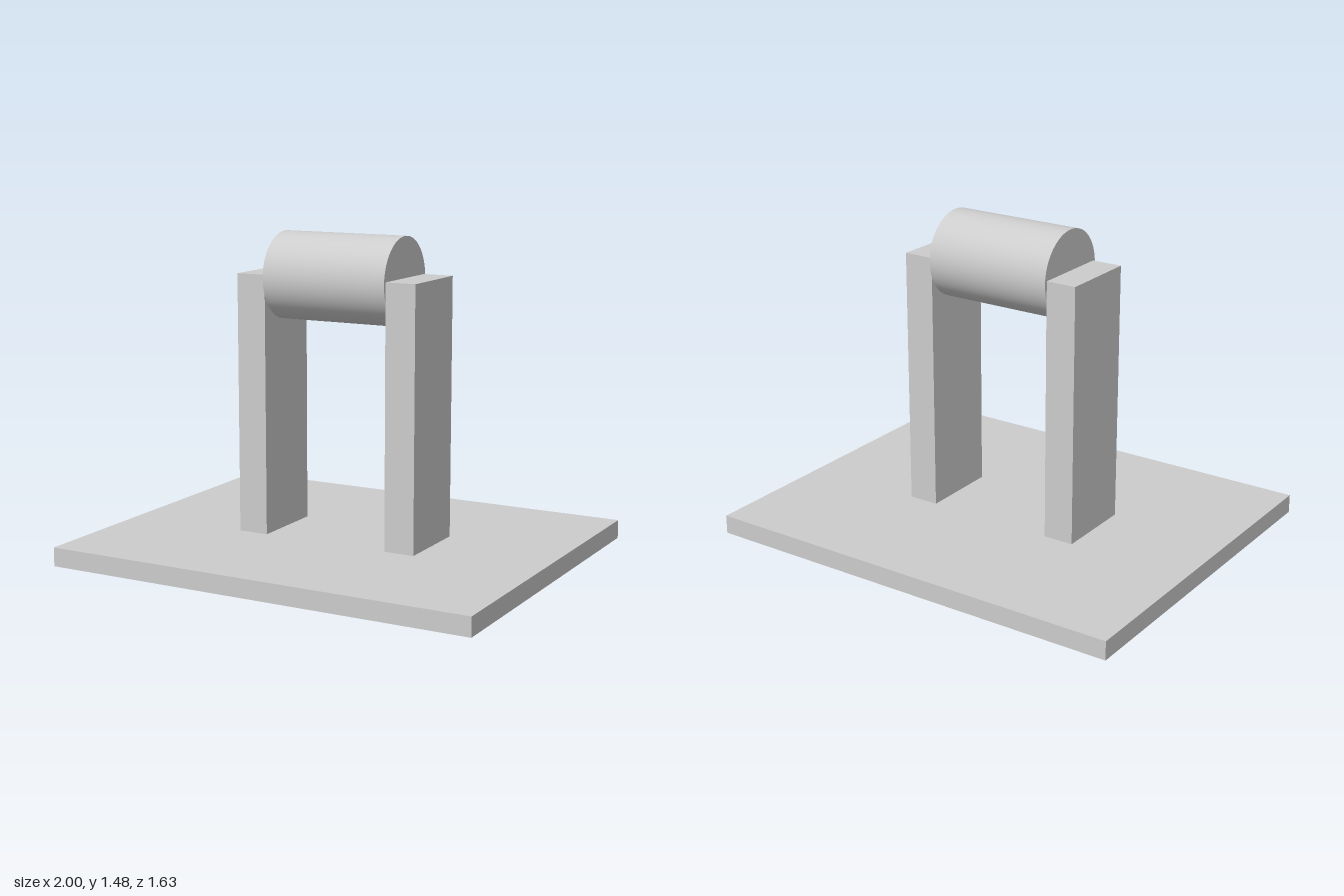
import * as THREE from 'three';

export function createModel() {
  const model = new THREE.Group();
  const grey = new THREE.MeshStandardMaterial({ color: 0xcccccc });
  grey.name = 'light grey';

  const add = (name, geometry, x, y, z) => {
    const mesh = new THREE.Mesh(geometry, grey);
    mesh.name = name;
    mesh.position.set(x, y, z);
    model.add(mesh);
    return mesh;
  };

  // Flat base plate, pierced by the posts
  add('basePlate', new THREE.BoxGeometry(2, 0.085, 1.634), 0, 0.0875, 0);

  // Two upright posts that poke out slightly below the plate
  const postGeometry = new THREE.BoxGeometry(0.14, 1.3, 0.364);
  add('leftPost', postGeometry, 0.366, 0.65, 0);
  add('rightPost', postGeometry, -0.369, 0.65, 0);

  // Horizontal roller held between the posts
  const roller = new THREE.CylinderGeometry(0.196, 0.196, 0.596, 64);
  roller.rotateZ(Math.PI / 2);
  add('roller', roller, -0.002, 1.285, 0);

  return model;
}
